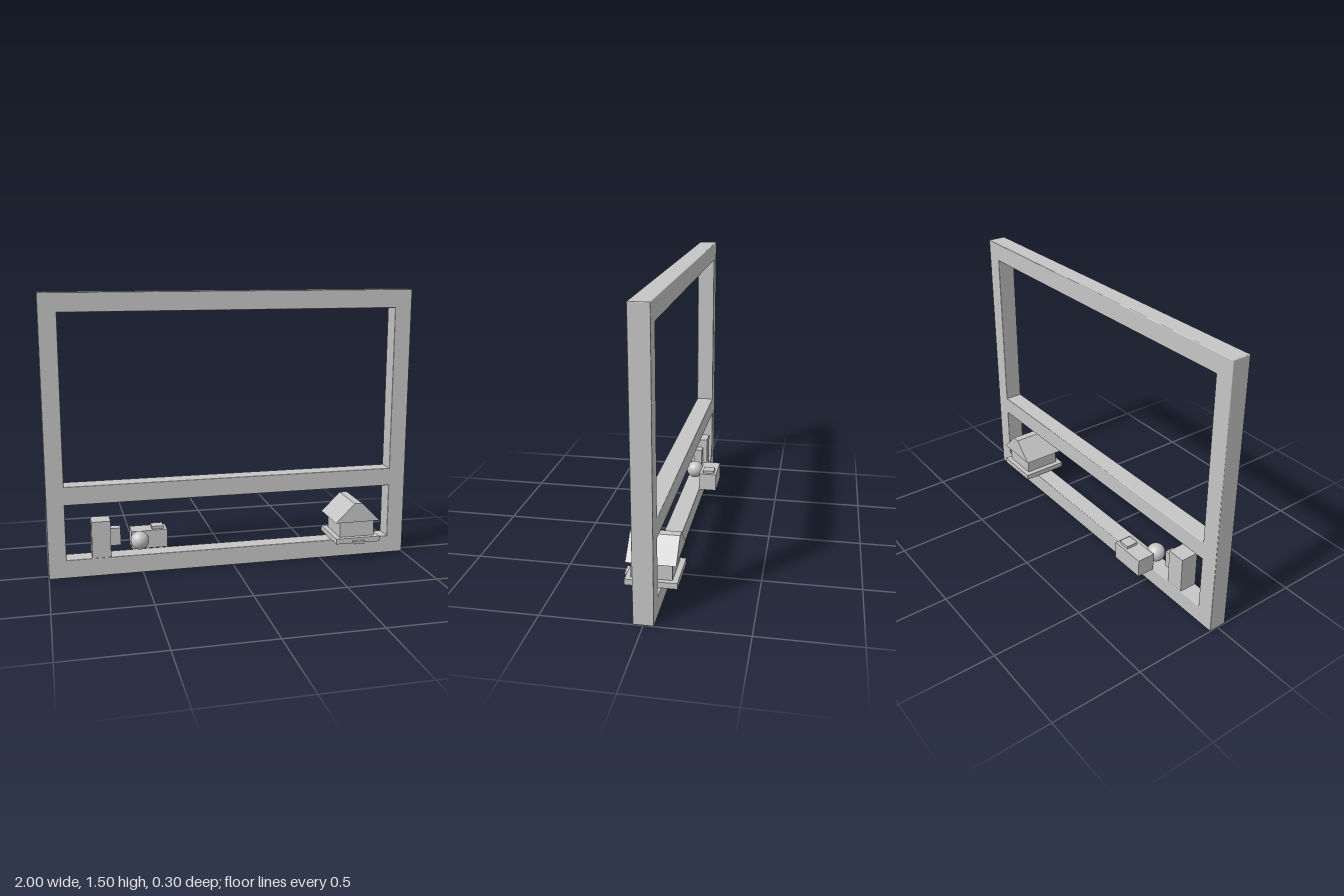
import * as THREE from 'three';
import { RoundedBoxGeometry } from 'three/addons/geometries/RoundedBoxGeometry.js';

export function createModel() {
  const model = new THREE.Group();
  const grey = new THREE.MeshStandardMaterial({ color: 0xc6c6c6 });
  grey.name = 'plain grey';

  function add(parent, name, geometry, x = 0, y = 0, z = 0) {
    const mesh = new THREE.Mesh(geometry, grey);
    mesh.name = name;
    mesh.position.set(x, y, z);
    parent.add(mesh);
  }

  // Box given by its extents on each axis
  function block(parent, name, [x0, x1], [y0, y1], [z0, z1], bevel = 0) {
    const size = [x1 - x0, y1 - y0, z1 - z0];
    const geometry = bevel
      ? new RoundedBoxGeometry(...size, 2, bevel)
      : new THREE.BoxGeometry(...size);
    add(parent, name, geometry, (x0 + x1) / 2, (y0 + y1) / 2, (z0 + z1) / 2);
  }

  function group(name) {
    const g = new THREE.Group();
    g.name = name;
    model.add(g);
    return g;
  }

  // Frame: two posts and three rails with slightly softened edges
  const frame = group('frame');
  const depth = [-0.05, 0.05];
  const soft = 0.004;
  block(frame, 'rightPost', [-1, -0.905], [0, 1.5], depth, soft);
  block(frame, 'leftPost', [0.905, 1], [0, 1.5], depth, soft);
  block(frame, 'bottomRail', [-0.998, 0.998], [0, 0.1], depth, soft);
  block(frame, 'middleRail', [-0.92, 0.92], [0.4, 0.5], depth, soft);
  block(frame, 'topRail', [-0.998, 0.998], [1.4, 1.5], depth, soft);

  // Mug: square body with a block handle
  const mug = group('mug');
  block(mug, 'mugBody', [-0.77, -0.67], [0.1, 0.3], depth);
  block(mug, 'mugHandle', [-0.67, -0.615], [0.155, 0.25], [-0.025, 0.025]);

  // Ball
  add(model, 'ball', new THREE.SphereGeometry(0.05, 32, 20), -0.51, 0.165, 0);

  // Small box with a raised button, just behind the rail
  const box = group('smallBox');
  block(box, 'boxBody', [-0.55, -0.352], [0.1, 0.2], [-0.15, -0.05]);
  block(box, 'boxButton', [-0.435, -0.37], [0.2, 0.215], [-0.135, -0.07]);

  // House: plinth, step, walls and a gable roof with a flat ridge
  const house = group('house');
  block(house, 'plinth', [0.57, 0.826], [0.1, 0.13], [-0.128, 0.13]);
  block(house, 'step', [0.667, 0.73], [0.1, 0.115], [0.13, 0.15]);
  block(house, 'walls', [0.6, 0.8], [0.13, 0.22], [-0.1, 0.103]);
  const gable = new THREE.Shape([
    new THREE.Vector2(-0.13, 0),
    new THREE.Vector2(0.13, 0),
    new THREE.Vector2(0.022, 0.107),
    new THREE.Vector2(-0.022, 0.107),
  ]);
  const roof = new THREE.ExtrudeGeometry(gable, { depth: 0.246, bevelEnabled: false });
  add(house, 'roof', roof, 0.698, 0.22, -0.123);

  return model;
}
